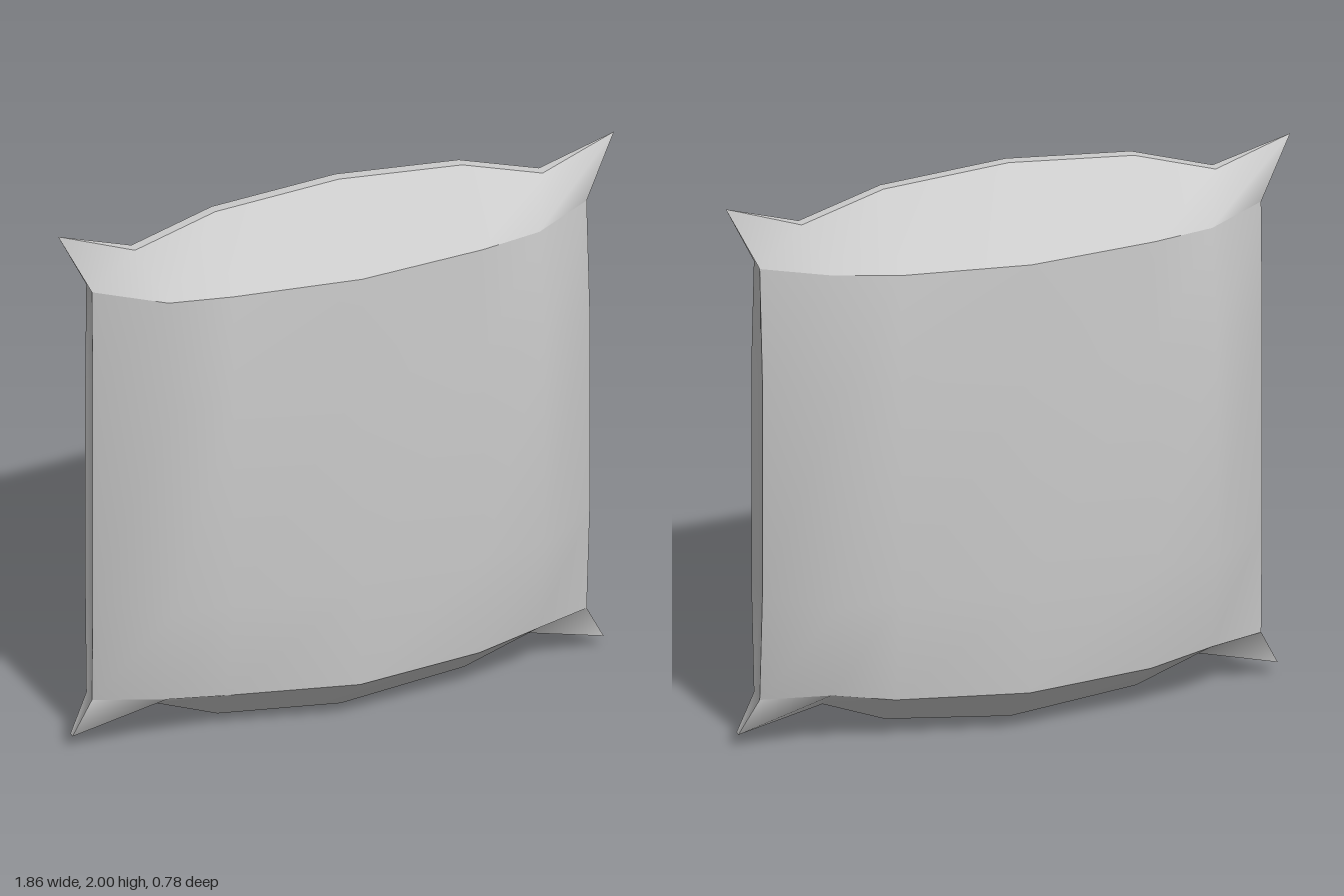
import * as THREE from 'three';

const material = new THREE.MeshStandardMaterial({ color: 0xcccccc });

// Smooth patch lofted through rows of [x, y, z] points (left to right, bottom to top)
function patch(name, rows) {
  const n = rows[0].length;
  const index = [];
  for (let r = 0; r < rows.length - 1; r++) {
    for (let c = 0; c < n - 1; c++) {
      const a = r * n + c;
      index.push(a, a + 1, a + n + 1, a, a + n + 1, a + n);
    }
  }
  const geometry = new THREE.BufferGeometry();
  geometry.setAttribute('position', new THREE.Float32BufferAttribute(rows.flat(2), 3));
  geometry.setIndex(index);
  geometry.computeVertexNormals();
  const mesh = new THREE.Mesh(geometry, material);
  mesh.name = name;
  return mesh;
}

// Row of seven points: x and y are mirrored from the centre out, depths run left to right
const row = (xs, ys, depths) => depths.map((z, i) => {
  const k = Math.abs(i - 3);
  return [Math.sign(i - 3) * xs[k], ys[k], z];
});

const columns = [0, 0.435, 0.647, 0.86];
const level = (y) => [y, y, y, y];

// One padded half: bulging face, slopes to the pinched seams, and its share of the seam strips
function createHalf(name, { lower, bulge, upper, topSeam, bottomSeam, bottomTip }) {
  const lowerRim = row(columns, [0.18, 0.18, 0.215, 0.18], lower);
  const upperRim = row(columns, level(1.745), upper);
  const seamDepths = (d, tip) => [tip, d, d, d, d, d, tip];
  const topRow = (d) => row([0, 0.43, 0.71, 0.968], [2, 1.965, 1.875, 1.965], seamDepths(d, 0));
  const bottomRow = (d, tip) => row([0, 0.43, 0.645, 0.925], [0, 0.05, 0.135, 0.05], seamDepths(d, tip));
  const half = new THREE.Group();
  half.name = name;
  half.add(
    patch('facePanel', [
      lowerRim,
      row(columns, level(0.57), bulge),
      row(columns, level(1.35), bulge),
      upperRim,
    ]),
    patch('topSlope', [upperRim, topRow(topSeam)]),
    patch('bottomSlope', [bottomRow(bottomSeam, bottomTip), lowerRim]),
    patch('topSeam', [topRow(topSeam), topRow(0)]),
    patch('bottomSeam', [bottomRow(0, 0), bottomRow(bottomSeam, bottomTip)]),
  );
  return half;
}

// Narrow side strip, slightly hollow, running from ear to ear
function createSideStrip(name, tip, rim, middle) {
  const section = (x, y, [front, back], dip) => [
    [x, y, front],
    [x - dip, y, (front + back) / 2],
    [x, y, back],
  ];
  return patch(name, [
    section(0.925, 0.05, tip, 0),
    section(0.86, 0.18, rim, 0.008),
    section(0.86, 0.57, middle, 0.012),
    section(0.86, 1.35, middle, 0.012),
    section(0.86, 1.745, rim, 0.008),
    section(0.968, 1.965, [0, 0], 0),
  ]);
}

export function createModel() {
  const front = createHalf('frontHalf', {
    lower: [0.027, 0.16, 0.15, 0.235, 0.18, 0.155, 0.037],
    bulge: [0.035, 0.22, 0.222, 0.256, 0.222, 0.22, 0.066],
    upper: [0.027, 0.177, 0.212, 0.252, 0.212, 0.17, 0.037],
    topSeam: 0.027,
    bottomSeam: 0.046,
    bottomTip: 0.02,
  });
  const back = createHalf('backHalf', {
    lower: [0.027, 0.135, 0.16, 0.24, 0.18, 0.155, 0.027],
    bulge: [0.057, 0.224, 0.224, 0.268, 0.225, 0.226, 0.038],
    upper: [0.027, 0.145, 0.212, 0.262, 0.215, 0.171, 0.027],
    topSeam: 0.008,
    bottomSeam: 0.028,
    bottomTip: 0,
  });
  back.rotation.y = Math.PI;

  const leftStrip = createSideStrip('leftSideStrip', [0.02, 0], [0.037, -0.027], [0.066, -0.057]);
  const rightStrip = createSideStrip('rightSideStrip', [0, -0.02], [0.027, -0.027], [0.038, -0.035]);
  rightStrip.rotation.y = Math.PI;

  // The sack stands turned slightly about its upright axis
  const model = new THREE.Group();
  model.name = 'sack';
  const body = new THREE.Group();
  body.name = 'turnedBody';
  body.rotation.y = 0.277;
  body.add(front, back, leftStrip, rightStrip);
  model.add(body);
  return model;
}
